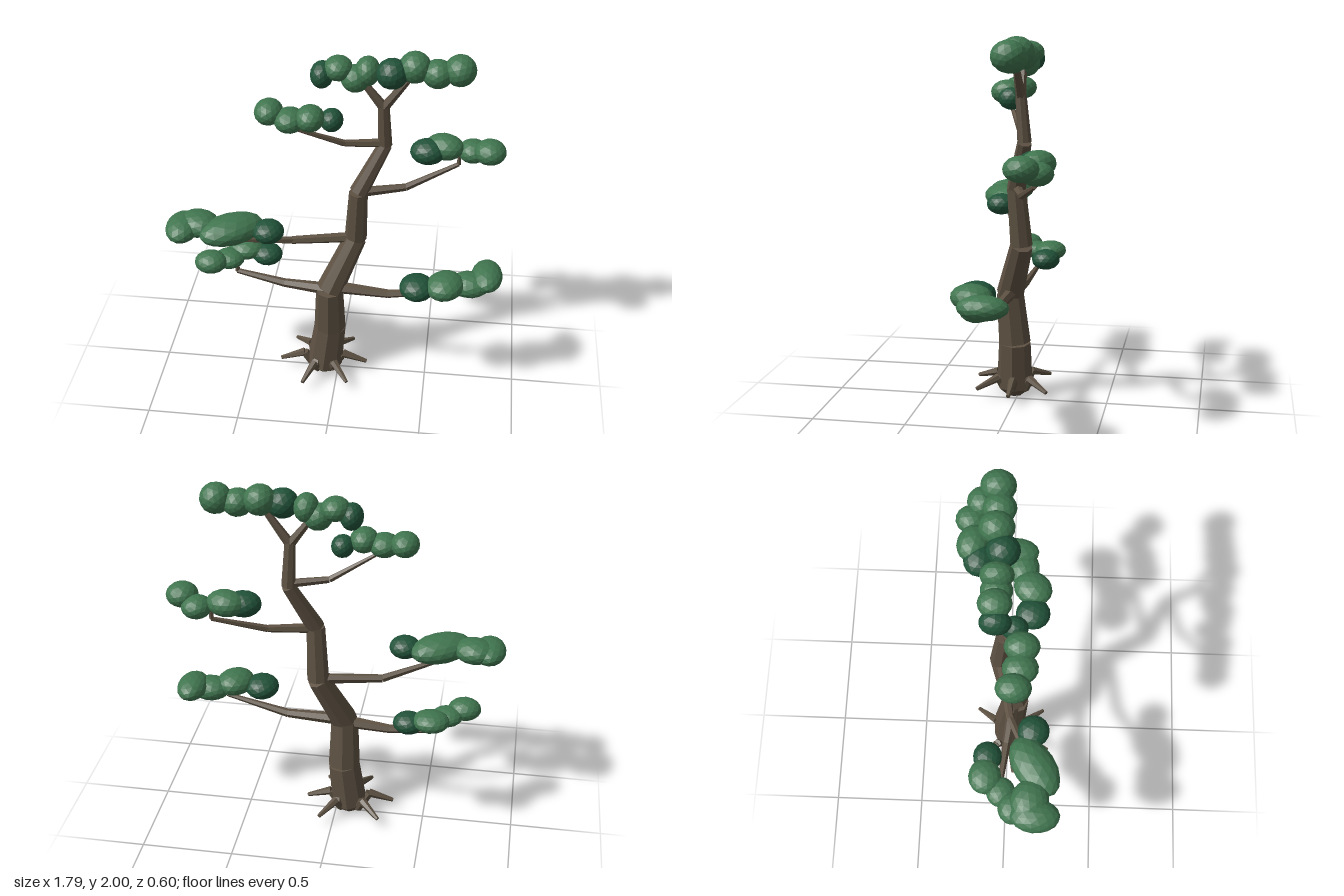
import * as THREE from 'three';

const mat = (name, color) => {
  const m = new THREE.MeshStandardMaterial({ color, flatShading: true });
  m.name = name;
  return m;
};

export function createModel() {
  const bark = mat('bark', 0x5d5142);
  const leaf = mat('leaf green', 0x40754f);
  const shade = mat('dark leaf green', 0x215239);
  const tree = new THREE.Group();
  tree.name = 'cloudPrunedTree';
  const UP = new THREE.Vector3(0, 1, 0);

  // Chain of straight tapered limbs through points [x, y, z, radius]
  function limb(name, points, sides) {
    const group = new THREE.Group();
    group.name = name;
    for (let i = 0; i < points.length - 1; i++) {
      const a = points[i], b = points[i + 1];
      const from = new THREE.Vector3(a[0], a[1], a[2]);
      const to = new THREE.Vector3(b[0], b[1], b[2]);
      const dir = to.clone().sub(from);
      const mesh = new THREE.Mesh(new THREE.CylinderGeometry(b[3], a[3], dir.length(), sides), bark);
      mesh.name = name + 'Segment';
      mesh.position.copy(from).add(to).multiplyScalar(0.5);
      mesh.quaternion.setFromUnitVectors(UP, dir.normalize());
      group.add(mesh);
    }
    tree.add(group);
  }

  // Foliage pad made of faceted ellipsoids [x, y, z, rx, ry, rz, turn]; listed indices are dark
  function pad(name, blobs, darkOnes) {
    const group = new THREE.Group();
    group.name = name;
    blobs.forEach(([x, y, z, rx, ry, rz, turn = 0], i) => {
      const geo = new THREE.IcosahedronGeometry(1, 2);
      geo.rotateY(i * 1.3).rotateX(i * 0.7).scale(rx, ry, rz);
      const mesh = new THREE.Mesh(geo, darkOnes.includes(i) ? shade : leaf);
      mesh.name = 'leafClump';
      mesh.position.set(x, y, z);
      mesh.rotation.y = turn;
      group.add(mesh);
    });
    tree.add(group);
  }

  // Trunk, with a rounded-off foot, and the fork at its top
  limb('trunk', [
    [-0.08, 0.01, 0.02, 0.05], [-0.075, 0.06, 0.02, 0.1], [-0.045, 0.315, 0.015, 0.088],
    [-0.043, 0.59, 0.04, 0.075], [0.09, 0.89, -0.045, 0.06], [0.105, 1.2, -0.02, 0.05],
    [0.235, 1.46, -0.085, 0.037], [0.225, 1.7, -0.065, 0.029],
  ], 8);
  limb('forkRight', [[0.225, 1.69, -0.065, 0.027], [0.12, 1.83, -0.06, 0.018]], 6);
  limb('forkLeft', [[0.225, 1.69, -0.065, 0.027], [0.34, 1.85, -0.06, 0.018]], 6);

  // Roots fanning out around the foot
  [0, 52, 113, 174, 223, 308].forEach((deg) => {
    const c = Math.cos(deg * Math.PI / 180), s = Math.sin(deg * Math.PI / 180);
    const at = (r, y, w) => [-0.08 + r * c, y, 0.015 + r * s, w];
    limb('root', [at(0.07, 0.05, 0.026), at(0.11, 0.115, 0.024), at(0.245, 0.07, 0.011)], 6);
  });

  // Branches
  limb('lowerRightBranch', [[-0.07, 0.585, 0.03, 0.034], [-0.3, 0.582, 0, 0.024],
    [-0.57, 0.62, -0.03, 0.014], [-0.57, 0.68, -0.03, 0.011]], 6);
  limb('lowerLeftBranch', [[0, 0.6, 0.03, 0.034], [0.28, 0.595, 0.05, 0.024], [0.63, 0.665, 0.08, 0.011]], 6);
  limb('middleRightBranch', [[0.07, 0.895, -0.04, 0.029], [-0.25, 0.89, 0.02, 0.022], [-0.6, 0.97, 0.17, 0.011]], 6);
  limb('upperLeftBranch', [[0.1, 1.195, -0.025, 0.028], [0.35, 1.205, -0.09, 0.02],
    [0.62, 1.3, -0.2, 0.012], [0.62, 1.36, -0.2, 0.01]], 6);
  limb('upperRightBranch', [[0.23, 1.475, -0.08, 0.024], [0.03, 1.488, -0.03, 0.018], [-0.21, 1.61, 0.065, 0.01]], 6);

  // Foliage pads
  pad('lowerRightPad', [
    [-0.41, 0.7, -0.1, 0.085, 0.058, 0.08], [-0.53, 0.727, -0.11, 0.1, 0.055, 0.09],
    [-0.61, 0.71, -0.02, 0.085, 0.05, 0.08], [-0.7, 0.725, 0.045, 0.09, 0.06, 0.08],
  ], [0]);
  pad('lowerLeftPad', [
    [0.44, 0.71, 0.125, 0.095, 0.065, 0.1], [0.59, 0.73, 0.12, 0.1, 0.068, 0.115, -0.5],
    [0.72, 0.71, 0.065, 0.11, 0.065, 0.09], [0.81, 0.74, 0.02, 0.085, 0.062, 0.13],
  ], [0]);
  pad('middleRightPad', [
    [-0.355, 1.025, 0.145, 0.085, 0.06, 0.085], [-0.55, 1.03, 0.155, 0.18, 0.075, 0.11, 0.6],
    [-0.73, 1.04, 0.135, 0.115, 0.065, 0.1, -0.3], [-0.81, 1.03, 0.165, 0.09, 0.062, 0.13],
  ], [0]);
  pad('upperLeftPad', [
    [0.455, 1.385, -0.17, 0.095, 0.067, 0.085], [0.54, 1.4, -0.205, 0.105, 0.068, 0.085, -0.3],
    [0.69, 1.375, -0.22, 0.08, 0.06, 0.085], [0.78, 1.41, -0.16, 0.085, 0.065, 0.088],
  ], [0]);
  pad('upperRightPad', [
    [-0.03, 1.655, 0.03, 0.06, 0.06, 0.07], [-0.135, 1.68, 0.07, 0.075, 0.066, 0.09],
    [-0.24, 1.66, 0.065, 0.08, 0.062, 0.09], [-0.35, 1.685, 0.035, 0.075, 0.065, 0.09],
  ], [0]);
  pad('crownPad', [
    [-0.09, 1.862, -0.06, 0.06, 0.07, 0.08], [-0.008, 1.9, -0.065, 0.075, 0.062, 0.085],
    [0.08, 1.85, -0.06, 0.075, 0.07, 0.08], [0.14, 1.895, -0.06, 0.065, 0.075, 0.085],
    [0.265, 1.9, -0.035, 0.082, 0.078, 0.085], [0.375, 1.925, -0.07, 0.083, 0.08, 0.09],
    [0.49, 1.9, -0.06, 0.08, 0.072, 0.085], [0.6, 1.92, -0.07, 0.082, 0.08, 0.09],
  ], [0, 4]);

  return tree;
}
